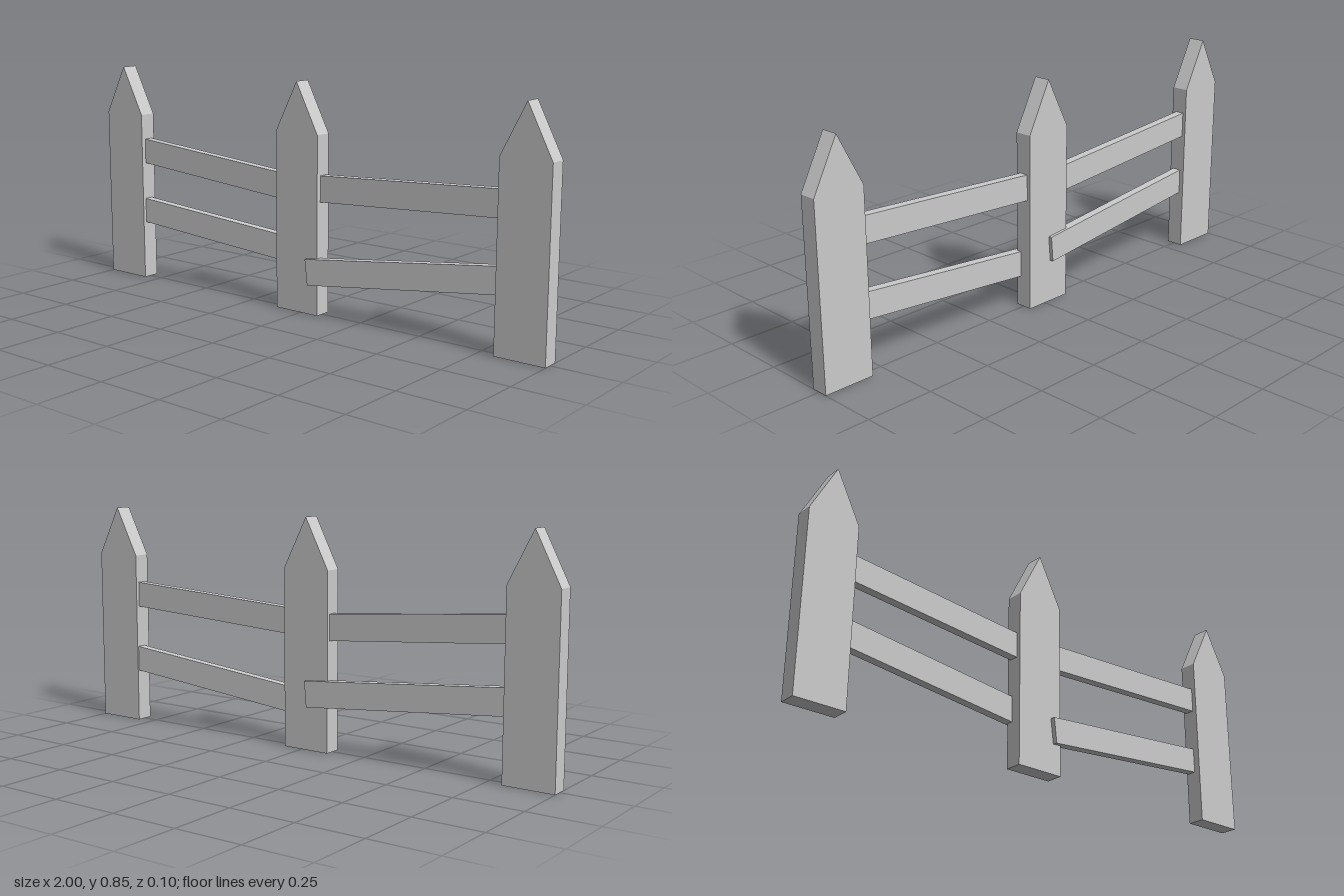
import * as THREE from 'three';

const material = new THREE.MeshStandardMaterial({ color: 0xcccccc, flatShading: true });

// Pointed picket standing on the ground
function makePost(name, x) {
  const w = 0.095, shoulder = 0.66, tip = 0.845, depth = 0.065;
  const shape = new THREE.Shape([
    new THREE.Vector2(-w, 0),
    new THREE.Vector2(w, 0),
    new THREE.Vector2(w, shoulder),
    new THREE.Vector2(0, tip),
    new THREE.Vector2(-w, shoulder),
  ]);
  const geometry = new THREE.ExtrudeGeometry(shape, { depth, bevelEnabled: false });
  const post = new THREE.Mesh(geometry, material);
  post.name = name;
  post.position.set(x, 0, -depth / 2 - 0.002);
  return post;
}

// Plank whose centre line runs from point a to point b
function makeRail(name, a, b) {
  const start = new THREE.Vector3(...a), end = new THREE.Vector3(...b);
  const d = end.clone().sub(start);
  const rail = new THREE.Mesh(new THREE.BoxGeometry(d.length(), 0.096, 0.034), material);
  rail.name = name;
  rail.position.copy(start).add(end).multiplyScalar(0.5);
  rail.rotation.set(0, -Math.atan2(d.z, Math.hypot(d.x, d.y)), Math.atan2(d.y, d.x), 'ZYX');
  return rail;
}

export function createModel() {
  const fence = new THREE.Group();
  fence.name = 'fence';

  fence.add(
    makePost('rightPost', -0.905),
    makePost('middlePost', -0.018),
    makePost('leftPost', 0.905),
  );

  // Upper rails sit inside the posts
  fence.add(
    makeRail('upperRightRail', [-0.88, 0.52, -0.004], [-0.03, 0.45, -0.004]),
    makeRail('upperLeftRail', [0, 0.461, -0.004], [0.88, 0.509, -0.004]),
  );

  // Lower rails are skewed, poking out behind and in front of the middle post
  fence.add(
    makeRail('lowerRightRail', [-0.88, 0.28, 0.003], [-0.024, 0.209, -0.031]),
    makeRail('lowerLeftRail', [0.038, 0.16, 0.031], [0.88, 0.257, -0.016]),
  );

  return fence;
}
